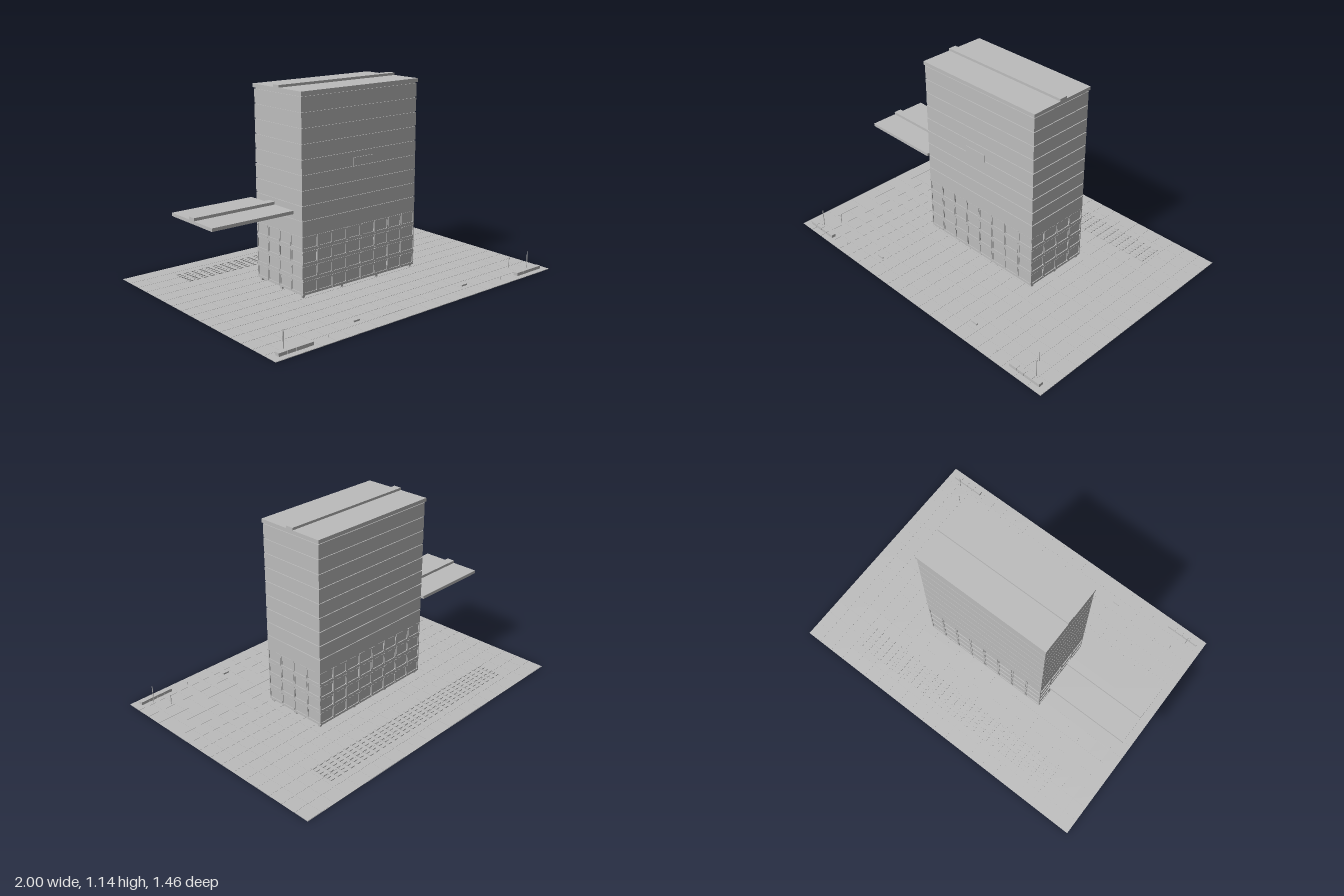
import * as THREE from 'three';

const concrete = new THREE.MeshStandardMaterial({ color: 0xbcbcbc });
concrete.name = 'pale grey concrete';

// Box given by its min and max corners
function block(parent, name, [x0, y0, z0], [x1, y1, z1]) {
  const mesh = new THREE.Mesh(new THREE.BoxGeometry(x1 - x0, y1 - y0, z1 - z0), concrete);
  mesh.position.set((x0 + x1) / 2, (y0 + y1) / 2, (z0 + z1) / 2);
  mesh.name = name;
  parent.add(mesh);
  return mesh;
}

function roundedRect(path, w, h, r) {
  const x = w / 2, y = h / 2;
  path.moveTo(-x + r, -y);
  path.lineTo(x - r, -y).quadraticCurveTo(x, -y, x, -y + r);
  path.lineTo(x, y - r).quadraticCurveTo(x, y, x - r, y);
  path.lineTo(-x + r, y).quadraticCurveTo(-x, y, -x, y - r);
  path.lineTo(-x, -y + r).quadraticCurveTo(-x, -y, -x + r, -y);
  return path;
}

// Window surround with a rounded opening
function frameGeometry(w, h) {
  const shape = roundedRect(new THREE.Shape(), w, h, 0.006);
  shape.holes.push(roundedRect(new THREE.Path(), w - 0.012, h - 0.014, 0.008));
  return new THREE.ExtrudeGeometry(shape, { depth: 0.005, bevelEnabled: false, curveSegments: 3 });
}

// Flat roof slab with a raised spine along x
function roof(parent, name, x0, x1, y0, y1, z0, z1, top) {
  const group = new THREE.Group();
  group.name = name;
  block(group, 'roofSlab', [x0, y0, z0], [x1, y1, z1]);
  block(group, 'roofSpine', [x0, y0, -0.048], [x1, top, 0]);
  parent.add(group);
}

function buildTower() {
  const tower = new THREE.Group();
  tower.name = 'tower';
  const X = 0.415, Z0 = -0.228, Z1 = 0.185, floor = 0.083, base = 0.02, e = 0.005;
  const zc = (Z0 + Z1) / 2;

  block(tower, 'towerCore', [-X + e, base, Z0 + e], [X - e, 1.11, Z1 - e]);

  // Upper storeys separated by fine shadow grooves
  for (let i = 4; i < 13; i++) {
    const y = base + i * floor;
    block(tower, 'upperStorey', [-X, y + 0.003, Z0], [X, y + floor - 0.003, Z1]);
  }
  // Projecting slabs between the four glazed storeys
  for (let i = 0; i <= 4; i++) {
    const y = base + i * floor;
    block(tower, 'floorSlab', [-X, y - (i ? 0.005 : 0), Z0], [X, y + 0.006, Z1]);
  }

  // Window surrounds on all four sides
  const sides = [
    { bays: 8, span: 2 * X, at: [0, Z1 - e], turn: 0 },
    { bays: 8, span: 2 * X, at: [0, Z0 + e], turn: Math.PI },
    { bays: 4, span: Z1 - Z0, at: [X - e, zc], turn: Math.PI / 2 },
    { bays: 4, span: Z1 - Z0, at: [-X + e, zc], turn: -Math.PI / 2 },
  ];
  for (const { bays, span, at, turn } of sides) {
    const side = new THREE.Group();
    side.name = 'windowSide';
    side.position.set(at[0], 0, at[1]);
    side.rotation.y = turn;
    const pitch = span / bays, geo = frameGeometry(pitch - 0.002, floor - 0.012);
    for (let f = 0; f < 4; f++) {
      for (let b = 0; b < bays; b++) {
        const frame = new THREE.Mesh(geo, concrete);
        frame.name = 'windowFrame';
        frame.position.set((b + 0.5) * pitch - span / 2, base + (f + 0.5) * floor, 0);
        side.add(frame);
      }
    }
    tower.add(side);
  }

  // Short feet under the building
  for (const x of [-0.4, -0.13, 0.13, 0.4])
    for (const z of [Z0 + 0.02, zc, Z1 - 0.02])
      block(tower, 'foot', [x - 0.008, 0, z - 0.008], [x + 0.008, base, z + 0.008]);

  roof(tower, 'towerRoof', -0.42, 0.42, 1.103, 1.124, -0.234, 0.19, 1.138);
  block(tower, 'facadePanel', [-0.075, 0.69, 0.199], [0.07, 0.735, 0.203]);
  return tower;
}

// Planter, posts and bollard at one front corner
function buildCorner(s) {
  const corner = new THREE.Group();
  corner.name = s > 0 ? 'leftCorner' : 'rightCorner';
  for (let i = 0; i < 4; i++) {
    const x = s * (0.776 + i * 0.0525);
    block(corner, 'planter', [x - 0.0255, 0.004, 0.67], [x + 0.0255, 0.022, 0.697]);
  }
  for (const [x, z, h] of [[0.895, 0.648, 0.11], [0.835, 0.562, 0.066], [0.637, 0.668, 0.018]]) {
    const post = new THREE.Mesh(new THREE.CylinderGeometry(0.0025, 0.0025, h, 8), concrete);
    post.name = 'post';
    post.position.set(s * x, h / 2, z);
    corner.add(post);
  }
  block(corner, 'bench', [s * 0.4 - 0.02, 0.003, 0.597], [s * 0.4 + 0.02, 0.012, 0.607]);
  return corner;
}

function buildPlaza() {
  const plaza = new THREE.Group();
  plaza.name = 'plaza';
  block(plaza, 'plazaBase', [-1, 0, -0.73], [1, 0.002, 0.73]);
  // Paving tiles with fine joints
  const cols = 22, rows = 16, w = 2 / cols, d = 1.46 / rows, g = 0.001;
  const tiles = new THREE.InstancedMesh(new THREE.BoxGeometry(w - 2 * g, 0.001, d - 2 * g), concrete, cols * rows);
  tiles.name = 'pavingTiles';
  const m = new THREE.Matrix4();
  for (let i = 0; i < cols * rows; i++) {
    const c = i % cols, r = Math.floor(i / cols);
    tiles.setMatrixAt(i, m.makeTranslation(-1 + (c + 0.5) * w, 0.0025, -0.73 + (r + 0.5) * d));
  }
  plaza.add(tiles);

  // Rows of low seats behind the tower
  for (let c = 0; c < 30; c++) {
    const x = -0.722 + c * 0.0488;
    for (let r = 0; r < 6; r++) {
      const z = -0.588 + r * 0.0265;
      block(plaza, 'seat', [x - 0.013, 0.002, z - 0.008], [x + 0.013, 0.008, z + 0.008]);
    }
  }
  return plaza;
}

export function createModel() {
  const model = new THREE.Group();
  model.name = 'officeTower';
  model.add(buildPlaza(), buildTower(), buildCorner(1), buildCorner(-1));
  // Separate side canopy at mid height
  roof(model, 'sideCanopy', -0.96, -0.457, 0.48, 0.498, -0.215, 0.165, 0.514);
  return model;
}
